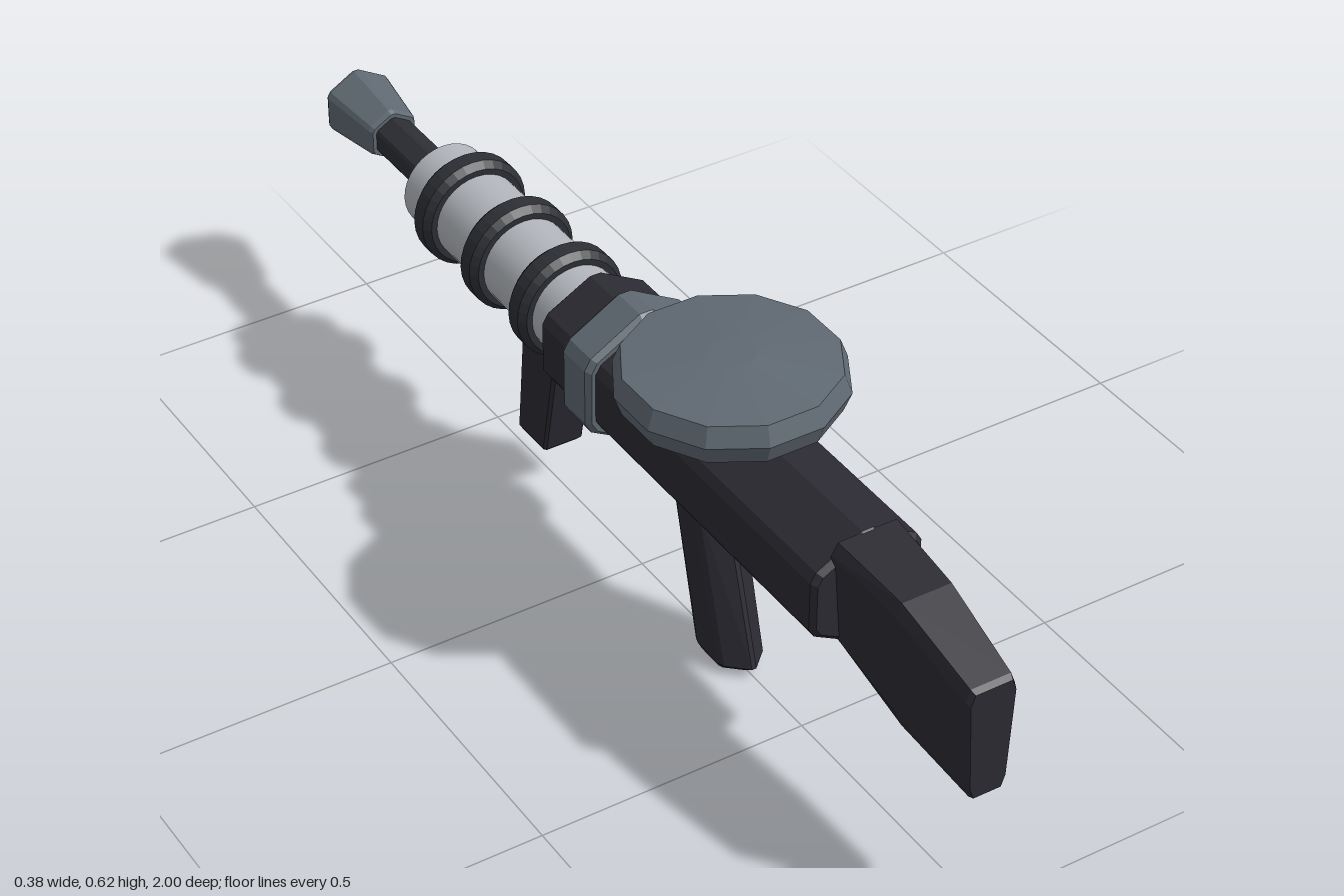
import * as THREE from 'three';

const mat = (name, color) => {
  const m = new THREE.MeshStandardMaterial({ color, flatShading: true });
  m.name = name;
  return m;
};

// Cut every corner of a polygon by a fraction of its edges
function cutCorners(points, t) {
  const out = [];
  points.forEach((p, i) => {
    const a = points[(i + points.length - 1) % points.length];
    const b = points[(i + 1) % points.length];
    out.push([p[0] + (a[0] - p[0]) * t, p[1] + (a[1] - p[1]) * t]);
    out.push([p[0] + (b[0] - p[0]) * t, p[1] + (b[1] - p[1]) * t]);
  });
  return out;
}

// Unit outlines: hexagon with corners up and down, and a rectangle
const hexagon = cutCorners([[0, 1], [-1, 0.5], [-1, -0.5], [0, -1], [1, -0.5], [1, 0.5]], 0.1);
const rectangle = cutCorners([[1, 1], [-1, 1], [-1, -1], [1, -1]], 0.06);
const slab = cutCorners([[1, 1], [-1, 1], [-0.75, -1], [0.75, -1]], 0.1);

// Closed faceted skin through cross-sections, each an array of Vector3
function loft(sections) {
  const pos = [];
  const tri = (a, b, c) => pos.push(...a.toArray(), ...b.toArray(), ...c.toArray());
  const n = sections[0].length;
  for (let s = 0; s < sections.length - 1; s++) {
    const p = sections[s], q = sections[s + 1];
    for (let i = 0; i < n; i++) {
      const j = (i + 1) % n;
      tri(p[i], p[j], q[j]);
      tri(p[i], q[j], q[i]);
    }
  }
  const first = sections[0], last = sections[sections.length - 1];
  for (let i = 1; i < n - 1; i++) {
    tri(first[0], first[i + 1], first[i]);
    tri(last[0], last[i], last[i + 1]);
  }
  // Turn the skin outward if its enclosed volume is negative
  let volume = 0;
  const a = new THREE.Vector3(), b = new THREE.Vector3(), c = new THREE.Vector3();
  for (let i = 0; i < pos.length; i += 9) {
    volume += a.fromArray(pos, i).dot(b.fromArray(pos, i + 3).cross(c.fromArray(pos, i + 6)));
  }
  if (volume < 0) {
    for (let i = 0; i < pos.length; i += 9) {
      for (let k = 0; k < 3; k++) [pos[i + 3 + k], pos[i + 6 + k]] = [pos[i + 6 + k], pos[i + 3 + k]];
    }
  }
  const g = new THREE.BufferGeometry();
  g.setAttribute('position', new THREE.Float32BufferAttribute(pos, 3));
  g.computeVertexNormals();
  return g;
}

// Sections along z: [z, half width, bottom, top]
const alongZ = (outline, rows) => loft(rows.map(([z, w, y0, y1]) =>
  outline.map(([u, v]) => new THREE.Vector3(u * w, (y0 + y1) / 2 + v * (y1 - y0) / 2, z))));

// Sections along y: [y, half width, z min, z max]
const alongY = (outline, rows) => loft(rows.map(([y, w, z0, z1]) =>
  outline.map(([u, v]) => new THREE.Vector3(u * w, y, (z0 + z1) / 2 + v * (z1 - z0) / 2))));

export function createModel() {
  const group = new THREE.Group();
  const dark = mat('dark frame', 0x2c2b33);
  const rubber = mat('dark ring', 0x2d2f34);
  const steel = mat('steel', 0x5f6972);
  const silver = mat('silver barrel', 0xb2b6bc);
  silver.flatShading = false;
  const axisY = 0.415;

  const add = (name, geometry, material) => {
    const mesh = new THREE.Mesh(geometry, material);
    mesh.name = name;
    group.add(mesh);
    return mesh;
  };

  // Hexagonal receiver and its collar
  add('receiver', alongZ(hexagon, [
    [0.67, 0.097, 0.31, 0.52], [0.66, 0.105, 0.298, 0.532],
    [-0.15, 0.105, 0.298, 0.532], [-0.16, 0.097, 0.31, 0.52]]), dark);
  add('collar', alongZ(hexagon, [
    [0.022, 0.112, 0.287, 0.543], [0.012, 0.12, 0.277, 0.553],
    [-0.055, 0.12, 0.277, 0.553], [-0.065, 0.112, 0.287, 0.543]]), steel);

  // Bent shoulder stock
  add('stock', alongZ(slab, [
    [1, 0.043, 0.24, 0.452], [0.99, 0.047, 0.238, 0.458],
    [0.82, 0.058, 0.258, 0.51], [0.66, 0.069, 0.312, 0.523]]), dark);

  // Slanted grips
  add('rearGrip', alongY(hexagon, [
    [0, 0.034, 0.21, 0.335], [0.018, 0.043, 0.198, 0.36],
    [0.3, 0.046, 0.135, 0.275], [0.34, 0.046, 0.125, 0.265]]), dark);
  add('frontGrip', alongY(rectangle, [
    [0.085, 0.034, -0.352, -0.272], [0.095, 0.04, -0.356, -0.262],
    [0.295, 0.04, -0.338, -0.222], [0.305, 0.035, -0.33, -0.228]]), dark);

  // Round barrel with three raised rings
  const barrel = add('barrel', new THREE.CylinderGeometry(0.083, 0.083, 0.53, 32), silver);
  barrel.rotation.x = Math.PI / 2;
  barrel.position.set(0, axisY, -0.405);
  const ringProfile = [[0.075, -0.028], [0.094, -0.028], [0.105, -0.015],
    [0.105, 0.015], [0.094, 0.028], [0.075, 0.028]].map(([r, y]) => new THREE.Vector2(r, y));
  const ringGeometry = new THREE.LatheGeometry(ringProfile, 32);
  [-0.25, -0.415, -0.58].forEach((z, i) => {
    const ring = add('barrelRing' + (i + 1), ringGeometry, rubber);
    ring.rotation.x = Math.PI / 2;
    ring.position.set(0, axisY, z);
  });

  // Thin inner rod and flared muzzle
  add('innerRod', alongZ(hexagon, [
    [-0.66, 0.036, axisY - 0.041, axisY + 0.041],
    [-0.88, 0.036, axisY - 0.041, axisY + 0.041]]), rubber);
  add('muzzle', alongZ(hexagon, [
    [-0.858, 0.043, axisY - 0.049, axisY + 0.049],
    [-0.868, 0.047, axisY - 0.054, axisY + 0.054],
    [-0.992, 0.063, axisY - 0.072, axisY + 0.072],
    [-1, 0.06, axisY - 0.069, axisY + 0.069]]), steel);

  // Twelve-sided drum on a short neck
  const k = 1 / Math.cos(Math.PI / 12);
  const drumProfile = [[0, 0.527], [0.05, 0.527], [0.178, 0.54], [0.191, 0.576],
    [0.178, 0.611], [0.04, 0.625], [0, 0.625]].map(([r, y]) => new THREE.Vector2(r * k, y));
  const drum = add('drum', new THREE.LatheGeometry(drumProfile, 12, Math.PI / 12), steel);
  drum.position.z = 0.272;
  const neck = add('drumNeck', new THREE.CylinderGeometry(0.05, 0.1, 0.025, 12), dark);
  neck.scale.x = 0.55;
  neck.position.set(0, 0.524, 0.272);

  return group;
}
